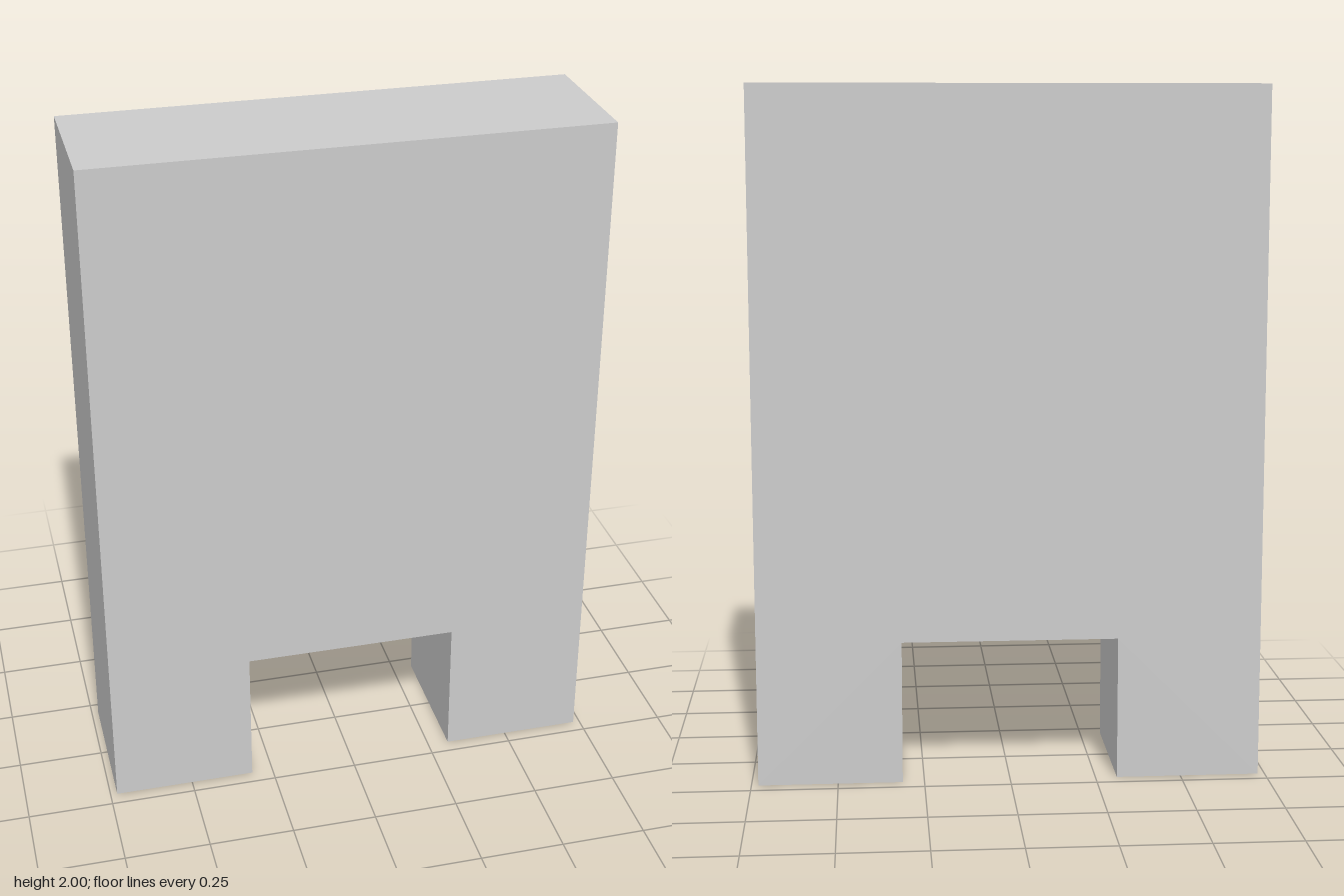
import * as THREE from 'three';

export function createModel() {
  const halfWidth = 0.73, height = 2, depth = 0.416;
  const notchHalf = 0.313, notchHeight = 0.417;

  // Front outline: a tall slab with a square notch leaving two feet
  const outline = new THREE.Shape([
    [-halfWidth, 0], [-notchHalf, 0], [-notchHalf, notchHeight],
    [notchHalf, notchHeight], [notchHalf, 0], [halfWidth, 0],
    [halfWidth, height], [-halfWidth, height],
  ].map(([x, y]) => new THREE.Vector2(x, y)));

  const geometry = new THREE.ExtrudeGeometry(outline, { depth, bevelEnabled: false });
  geometry.translate(0, 0, -depth / 2);

  const slab = new THREE.Mesh(
    geometry,
    new THREE.MeshStandardMaterial({ color: 0xcccccc, flatShading: true })
  );
  slab.name = 'notchedSlab';

  const group = new THREE.Group();
  group.name = 'slabWithFeet';
  group.add(slab);
  return group;
}
